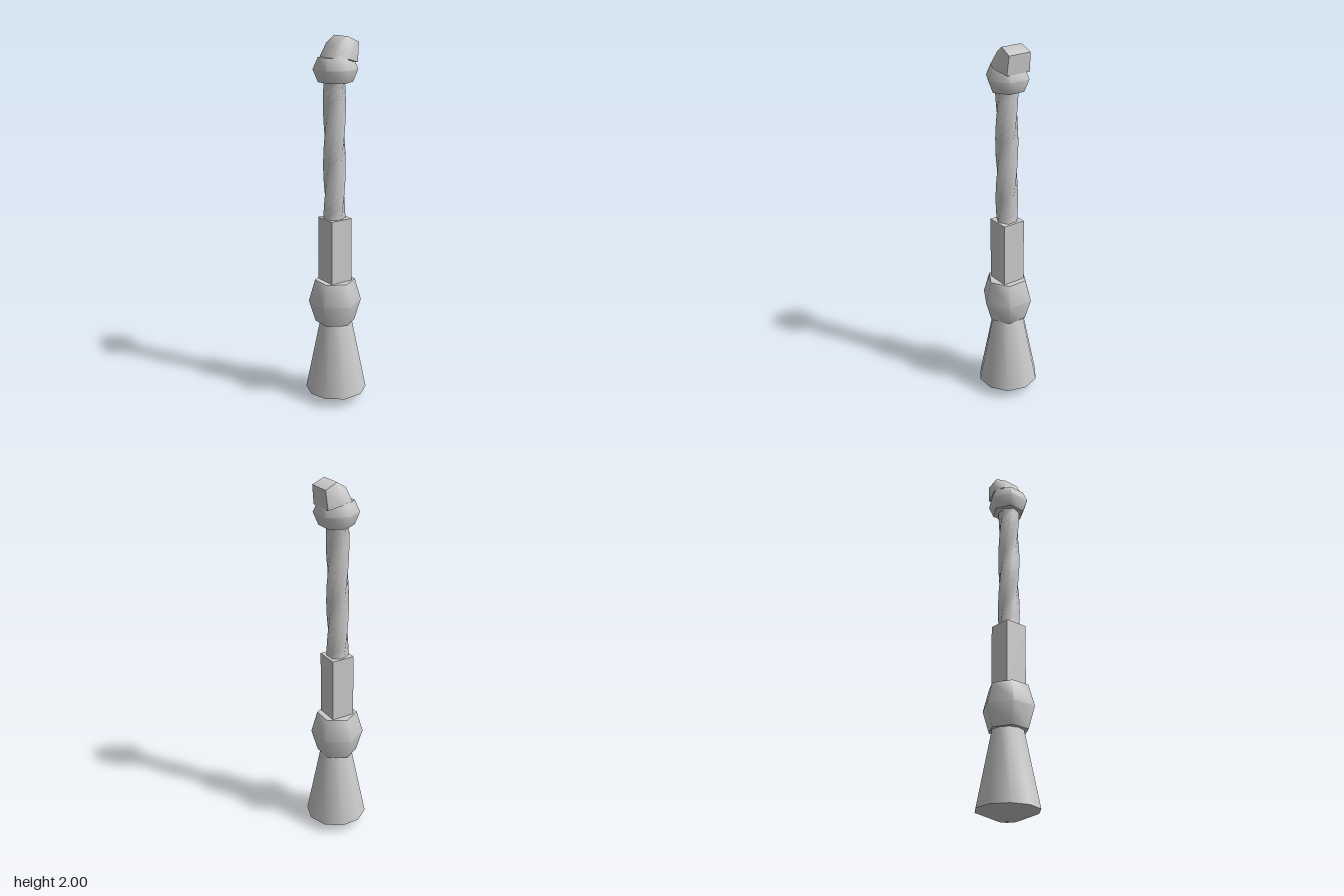
import * as THREE from 'three';
import { toCreasedNormals } from 'three/addons/utils/BufferGeometryUtils.js';
import { ConvexGeometry } from 'three/addons/geometries/ConvexGeometry.js';

const AXIS_Z = 0.007;

export function createModel() {
  const model = new THREE.Group();
  const material = new THREE.MeshStandardMaterial({ color: 0xcccccc });

  function add(name, geometry, z = AXIS_Z) {
    const mesh = new THREE.Mesh(geometry, material);
    mesh.name = name;
    mesh.position.z = z;
    model.add(mesh);
    return mesh;
  }

  // Faceted solid of revolution from [radius, y] pairs, listed bottom to top
  function turned(profile, sides, start) {
    const points = profile.map(([r, y]) => new THREE.Vector2(r, y));
    return toCreasedNormals(new THREE.LatheGeometry(points, sides, start), 1.13);
  }

  // Flared base with a shallow domed underside
  add('flaredBase', turned(
    [[0, 0], [0.06, 0.008], [0.168, 0.053], [0.085, 0.47], [0, 0.47]], 10, 0), 0);

  // Hexagonal lower and upper knobs
  add('lowerKnob', turned(
    [[0, 0.46], [0.108, 0.46], [0.143, 0.58], [0.109, 0.7], [0, 0.7]], 6, Math.PI / 2));
  add('upperKnob', turned(
    [[0, 1.77], [0.09, 1.77], [0.117, 1.835], [0.09, 1.895], [0, 1.895]], 6, Math.PI / 2), 0.003);

  // Square block
  const block = add('squareBlock', new THREE.BoxGeometry(0.128, 0.35, 0.128));
  block.position.y = 0.875;

  // Twisted hexagonal shaft
  const shaft = new THREE.CylinderGeometry(0.059, 0.059, 0.74, 6, 14, true);
  shaft.translate(0, 1.41, 0);
  const pos = shaft.attributes.position;
  const v = new THREE.Vector3();
  const up = new THREE.Vector3(0, 1, 0);
  for (let i = 0; i < pos.count; i++) {
    v.fromBufferAttribute(pos, i);
    v.applyAxisAngle(up, ((v.y - 1.2) / 0.32) * (Math.PI / 3));
    pos.setXYZ(i, v.x, v.y, v.z);
  }
  add('twistedShaft', toCreasedNormals(shaft, 1.3), 0.01);

  // Cap leaning backwards on the upper knob, mirrored in x
  const corners = [];
  for (const [x, y, z] of [
    [0.07, 1.895, 0.052], [0.092, 1.89, -0.015], [0.07, 1.87, -0.086],
    [0.042, 1.963, 0.032], [0.086, 1.93, -0.022], [0.06, 2.0, -0.03],
    [0.064, 1.97, -0.096],
  ]) {
    corners.push(new THREE.Vector3(x, y, z), new THREE.Vector3(-x, y, z));
  }
  add('leaningCap', toCreasedNormals(new ConvexGeometry(corners), 1.13), 0);

  return model;
}
